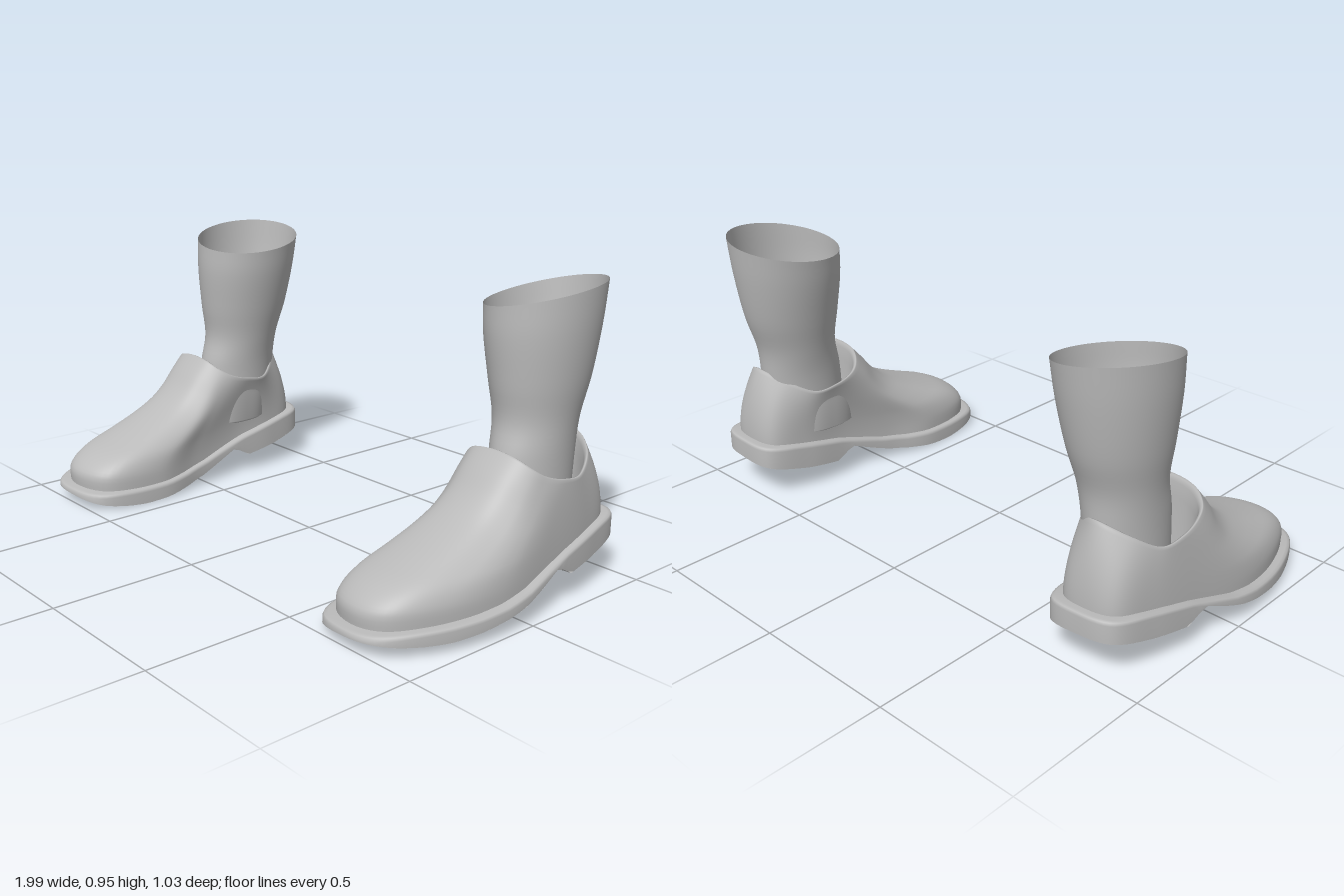
import * as THREE from 'three';

const grey = new THREE.MeshStandardMaterial({ color: 0xbababa, side: THREE.DoubleSide });
grey.name = 'plain grey';

const V = (x, y, z) => new THREE.Vector3(x, y, z);
const N = 96; // points around each outline

// Joins a list of rings (or rows) of points into one smooth surface
function loft(name, rings, side, closed) {
  const n = rings[0].length, pos = [], idx = [];
  rings.forEach(r => r.forEach(p => pos.push(p.x * side, p.y, p.z)));
  const tri = (a, b, c) => (side > 0 ? idx.push(a, b, c) : idx.push(a, c, b));
  for (let j = 0; j < rings.length - 1; j++) {
    for (let i = 0; i < (closed ? n : n - 1); i++) {
      const k = (i + 1) % n, a = j * n + i, b = j * n + k;
      tri(a, b, b + n);
      tri(a, b + n, a + n);
    }
  }
  const g = new THREE.BufferGeometry();
  g.setAttribute('position', new THREE.Float32BufferAttribute(pos, 3));
  g.setIndex(idx);
  g.computeVertexNormals();
  const mesh = new THREE.Mesh(g, grey);
  mesh.name = name;
  return mesh;
}

// Linear lookup in a table of [z, y], z falling
function lookup(table, z) {
  if (z >= table[0][0]) return table[0][1];
  for (let i = 1; i < table.length; i++) {
    const [z0, y0] = table[i - 1], [z1, y1] = table[i];
    if (z >= z1) return y0 + (y1 - y0) * (z0 - z) / (z0 - z1);
  }
  return table[table.length - 1][1];
}

const closedCurve = pts => new THREE.CatmullRomCurve3(pts, true, 'centripetal' && 'catmullrom', 0.5);

// Outlines run from the toe along the outer side to the heel and back
const soleLine = closedCurve([
  [0.74, 0.513], [0.872, 0.482], [0.962, 0.30], [0.996, 0.08], [0.97, -0.15], [0.945, -0.34], [0.90, -0.487],
  [0.785, -0.515], [0.665, -0.487], [0.625, -0.33], [0.62, -0.15], [0.60, 0.03], [0.562, 0.22], [0.602, 0.455],
].map(([x, z]) => V(x, 0, z)));

const upperLine = closedCurve([
  [0.74, 0.478], [0.86, 0.44], [0.935, 0.28], [0.965, 0.08], [0.945, -0.15], [0.92, -0.33], [0.88, -0.455],
  [0.785, -0.483], [0.685, -0.455], [0.65, -0.33], [0.645, -0.15], [0.62, 0.04], [0.583, 0.22], [0.618, 0.415],
].map(([x, z]) => V(x, 0, z)));

const collarLine = closedCurve([
  [0.77, 0.463, -0.06], [0.85, 0.453, -0.065], [0.90, 0.425, -0.09], [0.92, 0.398, -0.135], [0.927, 0.378, -0.21],
  [0.915, 0.372, -0.30], [0.87, 0.42, -0.385], [0.78, 0.457, -0.433], [0.69, 0.42, -0.385], [0.625, 0.372, -0.30],
  [0.608, 0.378, -0.21], [0.613, 0.398, -0.135], [0.64, 0.425, -0.09], [0.69, 0.453, -0.065],
].map(p => V(...p)));

// Heights of the sole, tilted so the outer edge sits higher
const bottomTable = [[0.515, 0.027], [0.45, 0.014], [0.38, 0.005], [0.3, 0], [0.2, 0.006], [0.1, 0.019], [0.02, 0.035],
  [-0.05, 0.06], [-0.145, 0.1], [-0.215, 0.062], [-0.35, 0.082], [-0.515, 0.118]];
const topTable = [[0.515, 0.073], [0.4, 0.076], [0.3, 0.076], [0.2, 0.079], [0.1, 0.087], [0, 0.104], [-0.1, 0.133],
  [-0.2, 0.162], [-0.3, 0.184], [-0.4, 0.202], [-0.515, 0.216]];
const bottomY = p => lookup(bottomTable, p.z) + 0.075 * Math.max(0, p.x - 0.56);
const topY = p => lookup(topTable, p.z) + 0.05 * (p.x - 0.97);

// Climb from toe to collar: x is the share of the way back, y the share of the height
const toeProfile = new THREE.CatmullRomCurve3([
  [0, 0], [0, 0.13], [0.05, 0.21], [0.15, 0.29], [0.33, 0.38], [0.52, 0.48], [0.7, 0.6], [0.82, 0.73], [0.91, 0.87], [1, 1],
].map(([h, k]) => V(h, k, 0)));

const around = f => Array.from({ length: N }, (_, i) => f(i / N));

function makeSole(side) {
  const group = new THREE.Group();
  group.name = 'sole';
  // edge wall and welt: share of the way in to the upper, and height
  const ring = (k, height) => around(u => {
    const p = soleLine.getPoint(u).lerp(upperLine.getPoint(u), k);
    p.y = height(p);
    return p;
  });
  group.add(loft('soleEdge', [
    ring(0, bottomY),
    ring(0, p => topY(p) - 0.012),
    ring(0.12, p => topY(p) - 0.003),
    ring(0.4, topY),
    ring(1.2, p => topY(p) + 0.002),
  ], side, true));
  // underside with the heel step
  const rows = [];
  for (let i = 0; i <= 120; i++) {
    const a = soleLine.getPoint(i / 240), b = soleLine.getPoint((1 - i / 240) % 1);
    rows.push(Array.from({ length: 9 }, (_, j) => {
      const p = a.clone().lerp(b, j / 8);
      p.y = bottomY(p);
      return p;
    }));
  }
  group.add(loft('soleUnderside', rows, side, false));
  return group;
}

function makeUpper(side) {
  const rings = [];
  // outer skin from welt to collar
  for (let j = 0; j <= 28; j++) {
    const v = j / 28, toe = toeProfile.getPoint(v);
    rings.push(around(u => {
      const b = upperLine.getPoint(u), c = collarLine.getPoint(u);
      const w = THREE.MathUtils.smoothstep(b.z, -0.25, 0.4);
      const h = THREE.MathUtils.lerp(v * v, toe.x, w);
      const k = THREE.MathUtils.lerp(v, toe.y, w);
      b.y = topY(b) - 0.005;
      return V(b.x + (c.x - b.x) * h, b.y + (c.y - b.y) * k, b.z + (c.z - b.z) * h);
    }));
  }
  // rounded lip, lining and insole
  const inner = (s, height) => around(u => {
    const c = collarLine.getPoint(u);
    return V(0.77 + (c.x - 0.77) * s, height(c), -0.245 + (c.z + 0.245) * s);
  });
  rings.push(
    inner(0.98, c => c.y + 0.004), inner(0.95, c => c.y + 0.002), inner(0.925, c => c.y - 0.015),
    inner(0.91, c => c.y - 0.06), inner(0.88, () => 0.21), inner(0.8, () => 0.2), inner(0, () => 0.2));
  return loft('shoeUpper', rings, side, true);
}

function makeSock(side) {
  // opposite corners of the sock's cross-section, bottom to top
  const low = new THREE.CatmullRomCurve3([V(0.645, 0.21, -0.4), V(0.64, 0.42, -0.415), V(0.625, 0.53, -0.425),
    V(0.6, 0.65, -0.463), V(0.572, 0.8, -0.493), V(0.56, 0.91, -0.508)]);
  const high = new THREE.CatmullRomCurve3([V(0.865, 0.21, -0.095), V(0.865, 0.42, -0.106), V(0.87, 0.53, -0.13),
    V(0.888, 0.65, -0.118), V(0.905, 0.8, -0.107), V(0.912, 0.91, -0.11)]);
  const rings = [];
  for (let j = 0; j <= 24; j++) {
    const t = j / 24, a = low.getPoint(t), b = high.getPoint(t);
    rings.push(around(u => {
      const s = Math.sin(u * 2 * Math.PI), c = Math.cos(u * 2 * Math.PI);
      // the rim slopes up to the back and the outer side
      const y = a.y + t ** 4 * (0.03 * s - 0.025 * c);
      return V((a.x + b.x) / 2 + (b.x - a.x) / 2 * s, y, (a.z + b.z) / 2 + (b.z - a.z) / 2 * c);
    }));
  }
  return loft('sock', rings, side, true);
}

export function createModel() {
  const model = new THREE.Group();
  model.name = 'shoesWithSocks';
  for (const side of [1, -1]) {
    const foot = new THREE.Group();
    foot.name = side > 0 ? 'leftShoe' : 'rightShoe';
    foot.add(makeSole(side), makeUpper(side), makeSock(side));
    model.add(foot);
  }
  return model;
}
